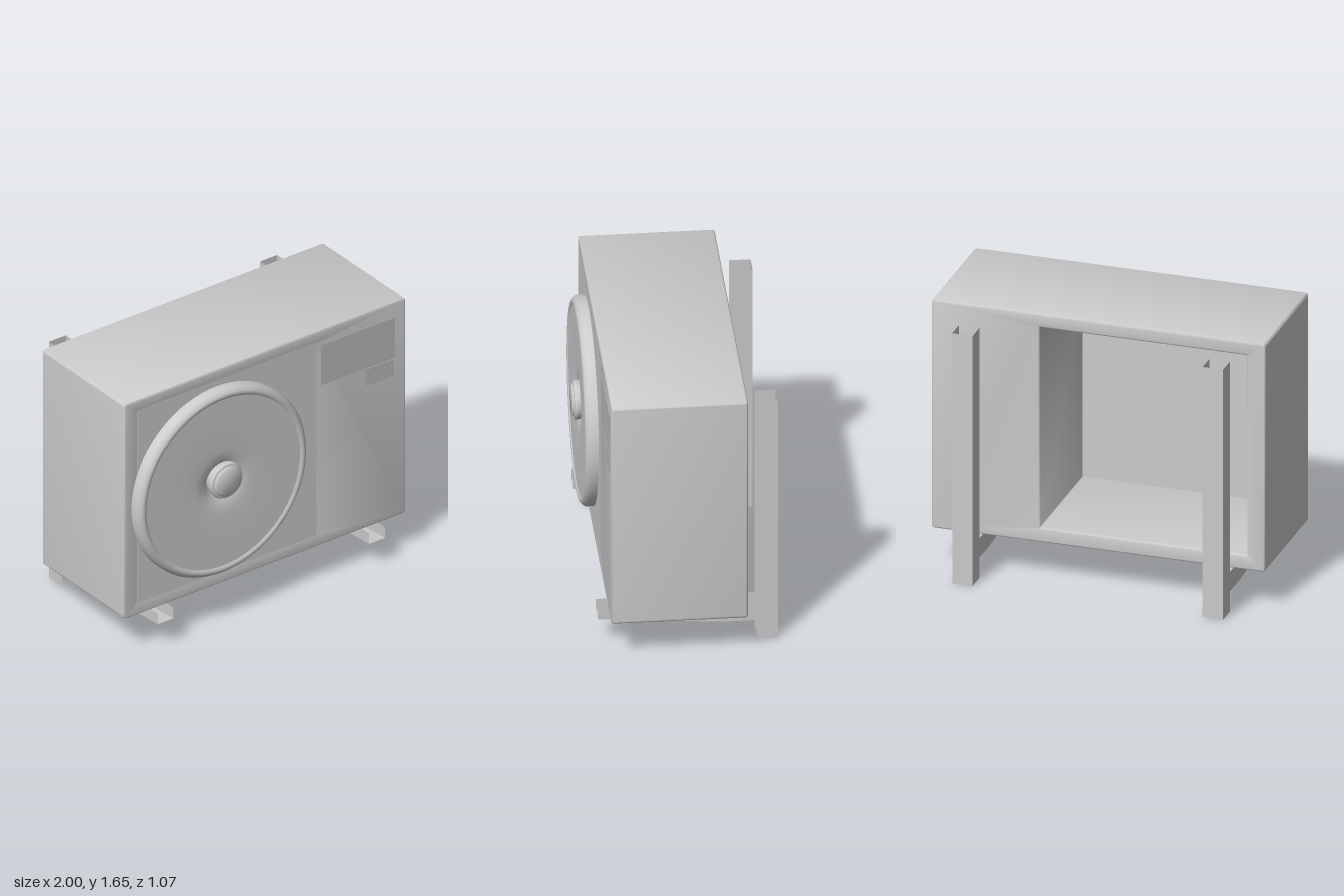
import * as THREE from 'three';
import { toCreasedNormals } from 'three/addons/utils/BufferGeometryUtils.js';

const shell = new THREE.MeshStandardMaterial({ color: 0xcccccc });
shell.name = 'shellGrey';
const sheet = new THREE.MeshStandardMaterial({ color: 0xcacaca, side: THREE.DoubleSide });
sheet.name = 'bracketGrey';
const plateGrey = new THREE.MeshStandardMaterial({ color: 0xbebebe });
plateGrey.name = 'plateGrey';

// Rectangle outline with rounded corners
function roundedRect(path, x0, y0, x1, y1, r) {
  path.moveTo(x0 + r, y0);
  path.lineTo(x1 - r, y0);
  path.absarc(x1 - r, y0 + r, r, -Math.PI / 2, 0);
  path.lineTo(x1, y1 - r);
  path.absarc(x1 - r, y1 - r, r, 0, Math.PI / 2);
  path.lineTo(x0 + r, y1);
  path.absarc(x0 + r, y1 - r, r, Math.PI / 2, Math.PI);
  path.lineTo(x0, y0 + r);
  path.absarc(x0 + r, y0 + r, r, Math.PI, Math.PI * 1.5);
  return path;
}

// Folded sheet metal: joins consecutive cross-sections of points with quads
function foldedSheet(sections) {
  const pos = [];
  for (let i = 0; i + 1 < sections.length; i++) {
    for (let j = 0; j + 1 < sections[i].length; j++) {
      const a = sections[i][j], b = sections[i][j + 1];
      const c = sections[i + 1][j + 1], d = sections[i + 1][j];
      pos.push(...a, ...b, ...c, ...a, ...c, ...d);
    }
  }
  const geo = new THREE.BufferGeometry();
  geo.setAttribute('position', new THREE.Float32BufferAttribute(pos, 3));
  geo.computeVertexNormals();
  return geo;
}

// Turned part facing +z, from [radius, z] points running from back to front
function turned(points, segments) {
  const geo = new THREE.LatheGeometry(points.map(([r, z]) => new THREE.Vector2(r, z)), segments);
  return geo.rotateX(Math.PI / 2);
}

export function createModel() {
  const model = new THREE.Group();
  model.name = 'outdoorUnit';
  const add = (name, geo, mat, x = 0, y = 0, z = 0) => {
    const mesh = new THREE.Mesh(geo, mat);
    mesh.name = name;
    mesh.position.set(x, y, z);
    model.add(mesh);
  };

  // Hollow casing with a deep square opening at the back
  const front = 0.433, back = -0.345, low = 0.24, high = 1.655, b = 0.012;
  const outline = roundedRect(new THREE.Shape(), -1 + b, low + b, 1 - b, high - b, 0.008);
  outline.holes.push(roundedRect(new THREE.Path(), -0.89 - b, 0.33 - b, 0.35 + b, 1.57 + b, 0.016));
  const casing = new THREE.ExtrudeGeometry(outline, {
    depth: front - back - 2 * b, bevelEnabled: true, bevelSize: b, bevelThickness: b,
    bevelSegments: 3, curveSegments: 4,
  });
  add('casing', toCreasedNormals(casing, 0.7), shell, 0, 0, back + b);

  // Front panel closing the opening
  add('frontPanel', new THREE.BoxGeometry(1.27, 1.27, 0.014), shell, -0.27, 0.95, front - 0.0065);

  // Round fan cover: raised rim and a nearly flat, softly shaded face
  const rim = [
    [0.602, 0.425], [0.602, 0.478], [0.592, 0.494], [0.578, 0.506], [0.566, 0.509],
    [0.555, 0.506], [0.546, 0.5],
  ];
  add('fanRim', toCreasedNormals(turned(rim, 96), 0.6), shell, -0.347, 0.945, 0);
  const face = [[0.546, 0.5], [0.5, 0.5], [0.3, 0.499], [0.2, 0.496], [0.13, 0.488], [0.09, 0.46]];
  add('fanFace', turned(face, 96), shell, -0.347, 0.945, 0);

  // Central hub
  const hub = [
    [0.1, 0.45], [0.112, 0.49], [0.114, 0.512], [0.108, 0.522], [0.094, 0.526],
    [0.09, 0.533], [0.084, 0.537], [0, 0.537],
  ];
  add('fanHub', toCreasedNormals(turned(hub, 48), 0.6), shell, -0.335, 0.96, 0);

  // Front plates
  add('largePlate', new THREE.BoxGeometry(0.525, 0.265, 0.004), plateGrey, 0.658, 1.423, front);
  add('smallPlate', new THREE.BoxGeometry(0.2, 0.11, 0.004), plateGrey, 0.815, 1.228, front);

  // Wall rails and support arms, one pair per side
  const rail = foldedSheet([0, 1.55].map((y) => [
    [-0.061, y, -0.411], [-0.061, y, -0.533], [0.061, y, -0.533], [0.061, y, -0.411],
  ]));
  const arm = foldedSheet([[0.492, 0.17], [-0.21, 0.117], [-0.489, 0.117]].map(([z, y]) => [
    [-0.056, 0.239, z], [-0.056, y, z], [0.056, y, z], [0.056, 0.239, z],
  ]));
  for (const [side, x] of [['left', 0.75], ['right', -0.75]]) {
    add(side + 'WallRail', rail, sheet, x);
    add(side + 'SupportArm', arm, sheet, x);
  }
  return model;
}
